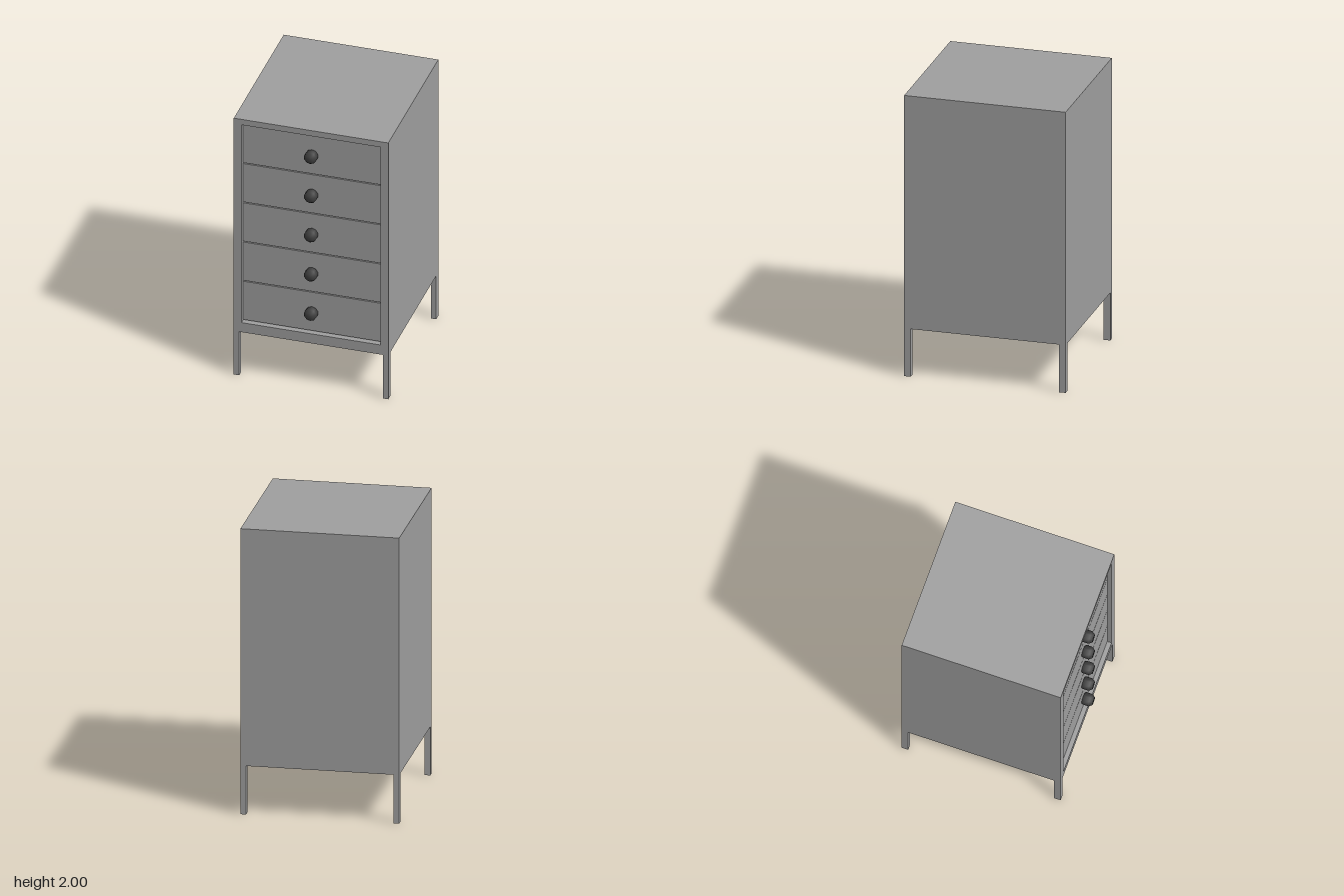
import * as THREE from 'three';

const WIDTH = 1.08, TOP = 2, BOTTOM = 0.34;
const FRONT = 0.54, BACK = -0.585;
const OPEN_X = 0.485, OPEN_BOTTOM = 0.414, OPEN_TOP = 1.957;
const DRAWERS = 5, PITCH = 0.306, TOP_DRAWER_Y = 1.795, DRAWER_FRONT = 0.51;

export function createModel() {
  const model = new THREE.Group();
  model.name = 'drawerCabinet';

  const grey = new THREE.MeshStandardMaterial({ color: 0xa0a0a0 });
  grey.name = 'grey paint';
  const dark = new THREE.MeshStandardMaterial({ color: 0x404040 });
  dark.name = 'dark knob';

  const add = (name, geometry, material, x, y, z) => {
    const mesh = new THREE.Mesh(geometry, material);
    mesh.name = name;
    mesh.position.set(x, y, z);
    model.add(mesh);
    return mesh;
  };

  // Carcass: a hollow box open at the front, closed by a thin back panel
  const backThickness = 0.004;
  const outline = new THREE.Shape([
    new THREE.Vector2(-WIDTH / 2, BOTTOM), new THREE.Vector2(WIDTH / 2, BOTTOM),
    new THREE.Vector2(WIDTH / 2, TOP), new THREE.Vector2(-WIDTH / 2, TOP),
  ]);
  outline.holes.push(new THREE.Path([
    new THREE.Vector2(-OPEN_X, OPEN_BOTTOM), new THREE.Vector2(-OPEN_X, OPEN_TOP),
    new THREE.Vector2(OPEN_X, OPEN_TOP), new THREE.Vector2(OPEN_X, OPEN_BOTTOM),
  ]));
  const shell = new THREE.ExtrudeGeometry(outline, {
    depth: FRONT - BACK - backThickness, bevelEnabled: false,
  });
  add('carcass', shell, grey, 0, 0, BACK + backThickness);
  add('backPanel', new THREE.BoxGeometry(WIDTH, TOP - BOTTOM, backThickness), grey,
    0, (TOP + BOTTOM) / 2, BACK + backThickness / 2);

  // Recessed drawers, each with a rounded knob
  const drawerDepth = 1.05;
  const drawer = new THREE.BoxGeometry(OPEN_X * 2, 0.2985, drawerDepth);
  const knobProfile = [[0, -0.043], [0.028, -0.043], [0.0435, -0.021],
    [0.0435, 0.021], [0.028, 0.043], [0, 0.043]].map(([r, h]) => new THREE.Vector2(r, h));
  const knob = new THREE.LatheGeometry(knobProfile, 10).rotateX(Math.PI / 2);
  for (let i = 0; i < DRAWERS; i++) {
    const y = TOP_DRAWER_Y - i * PITCH;
    add('drawer', drawer, grey, 0, y, DRAWER_FRONT - drawerDepth / 2);
    add('knob', knob, dark, 0, y, FRONT);
  }

  // Four square legs flush with the corners
  const legX = 0.038, legZ = 0.046;
  const leg = new THREE.BoxGeometry(legX, BOTTOM, legZ);
  for (const side of [-1, 1]) {
    const x = side * (WIDTH - legX) / 2;
    add('frontLeg', leg, grey, x, BOTTOM / 2, FRONT - legZ / 2);
    add('backLeg', leg, grey, x, BOTTOM / 2, BACK + legZ / 2);
  }

  return model;
}
